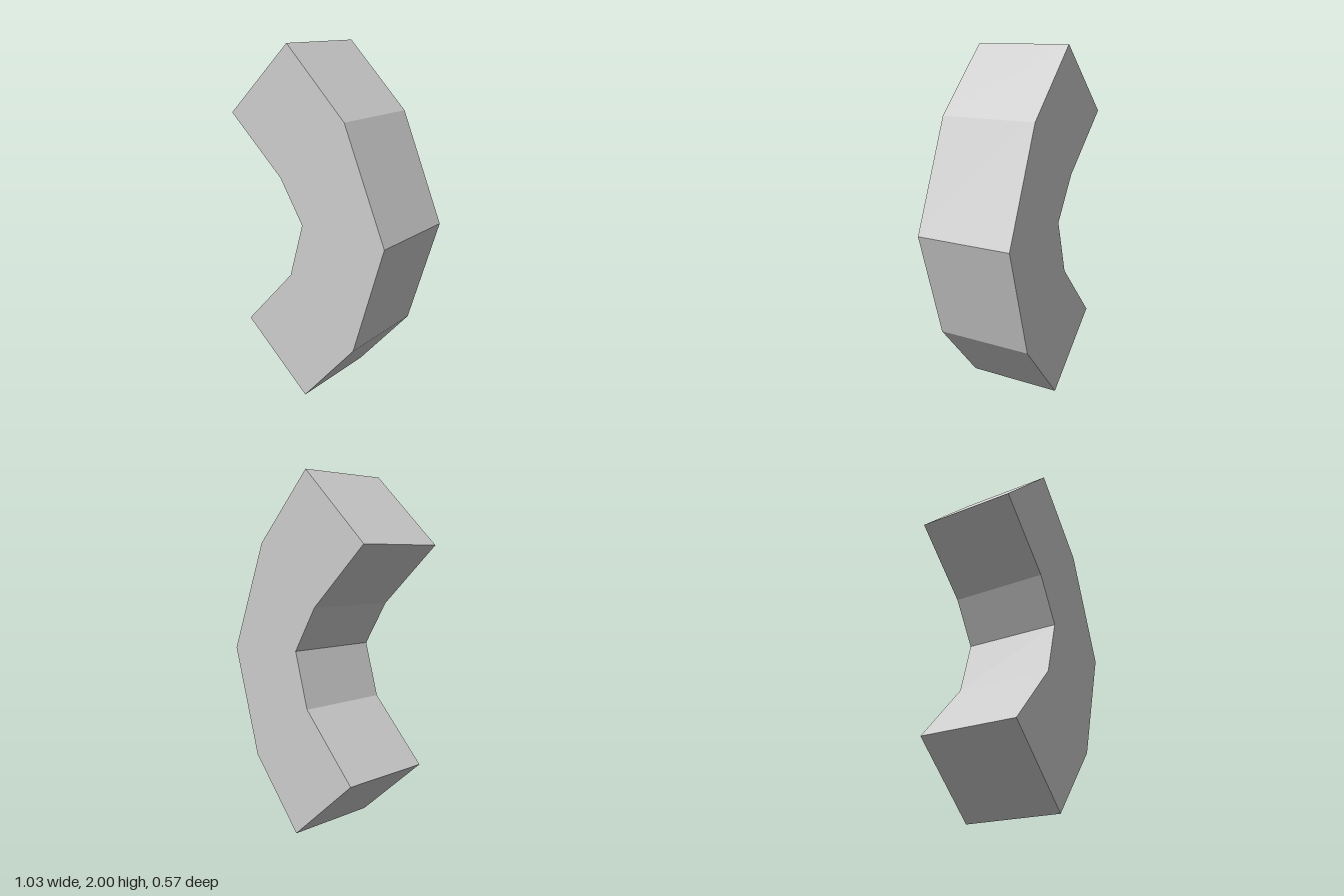
import * as THREE from 'three';

export function createModel() {
  const group = new THREE.Group();
  group.name = 'bentBlock';
  const lightGrey = new THREE.MeshStandardMaterial({ color: 0xcccccc });
  lightGrey.name = 'lightGrey';

  // Elbow outline: outer bend downwards, then inner bend upwards
  const outer = [[-0.107, 2], [0.262, 1.627], [0.515, 1.012], [0.327, 0.39], [-0.015, 0]];
  const inner = [[-0.44, 0.375], [-0.11, 0.73], [-0.02, 1.04], [-0.17, 1.285], [-0.52, 1.612]];
  const outline = new THREE.Shape([...outer, ...inner].map(([x, y]) => new THREE.Vector2(x, y)));

  // Square-section body with flat ends
  const depth = 0.566;
  const geometry = new THREE.ExtrudeGeometry(outline, { depth, bevelEnabled: false });
  geometry.translate(0, 0, -depth / 2);
  const body = new THREE.Mesh(geometry, lightGrey);
  body.name = 'curvedBody';
  group.add(body);
  return group;
}
